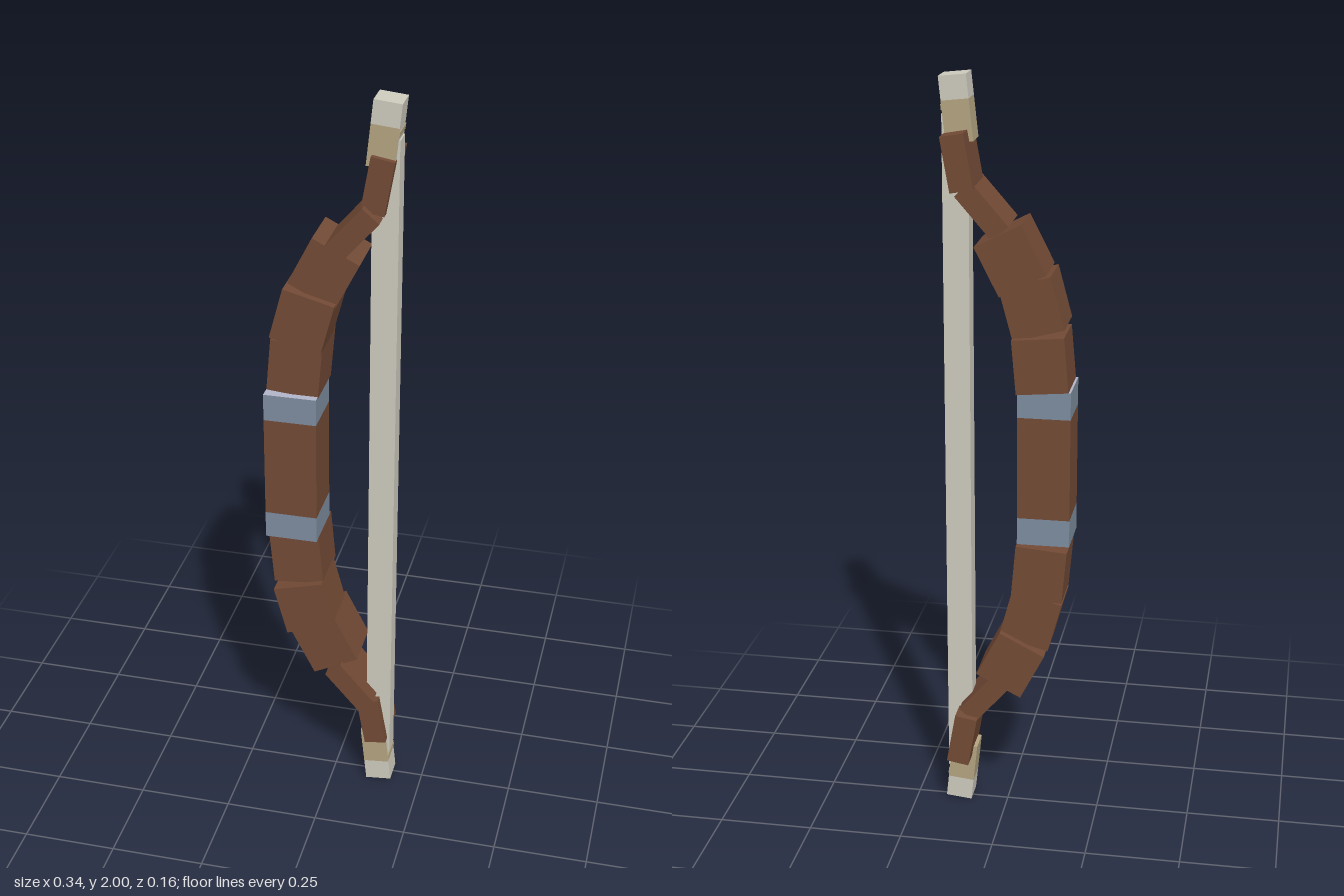
import * as THREE from 'three';

const material = (name, color) => {
  const m = new THREE.MeshStandardMaterial({ color });
  m.name = name;
  return m;
};

export function createModel() {
  const wood = material('brown wood', 0x724a35);
  const band = material('blue grey band', 0x7d8c9e);
  const bandEnd = material('pale band end', 0xb0b5c8);
  const cord = material('pale cord', 0xcdcabd);
  const tan = material('tan binding', 0xb3a380);

  const model = new THREE.Group();
  model.name = 'bow';

  function box(parent, name, size, position, mat, tilt = 0) {
    const mesh = new THREE.Mesh(new THREE.BoxGeometry(...size), mat);
    mesh.name = name;
    mesh.position.set(...position);
    mesh.rotation.z = tilt;
    parent.add(mesh);
    return mesh;
  }

  // Grip and string, centred at mid height
  box(model, 'grip', [0.138, 0.275, 0.14], [-0.103, 1.0025, 0.01], wood);
  box(model, 'string', [0.067, 1.8, 0.054], [0.129, 1, 0.01], cord);

  // Limb blocks: x, distance from mid height, lean in degrees, length, width
  const blocks = [
    [-0.095, 0.284, 5, 0.143, 0.135],
    [-0.07, 0.426, 15, 0.14, 0.136],
    [-0.019, 0.552, 27, 0.14, 0.134],
    [0.056, 0.669, 41, 0.142, 0.056],
    [0.114, 0.79, 10, 0.14, 0.06],
  ];

  for (const s of [1, -1]) {
    const side = s > 0 ? 'upper' : 'lower';

    // Grip band with a pale outer end
    const bandFaces = [band, band, s > 0 ? bandEnd : band, s > 0 ? band : bandEnd, band, band];
    box(model, side + 'GripBand', [0.138, 0.073, 0.14], [-0.103, 1.0025 + s * 0.174, 0.01], bandFaces);

    // Blocks step alternately back and forward
    blocks.forEach(([x, d, lean, length, width], i) => {
      box(model, side + 'LimbBlock' + (i + 1), [width, length, 0.14],
        [x, 1 + s * d, i % 2 ? 0.01 : -0.01], wood, -s * THREE.MathUtils.degToRad(lean));
    });

    // Tip: tan binding with a pale outer face, and a pale cap
    const tip = new THREE.Group();
    tip.name = side + 'Tip';
    tip.position.set(0.125, 1 + s * 0.914, 0.0105);
    tip.rotation.z = -s * THREE.MathUtils.degToRad(6);
    model.add(tip);
    box(tip, 'binding', [0.07, 0.105, 0.07], [0, -s * 0.03, 0], [cord, tan, tan, tan, tan, tan]);
    box(tip, 'cap', [0.07, 0.06, 0.07], [0, s * 0.0525, 0], cord);
    box(tip, 'bindingLine', [0.004, 0.014, 0.07], [0.035, s * 0.007, 0], tan);
  }

  return model;
}
